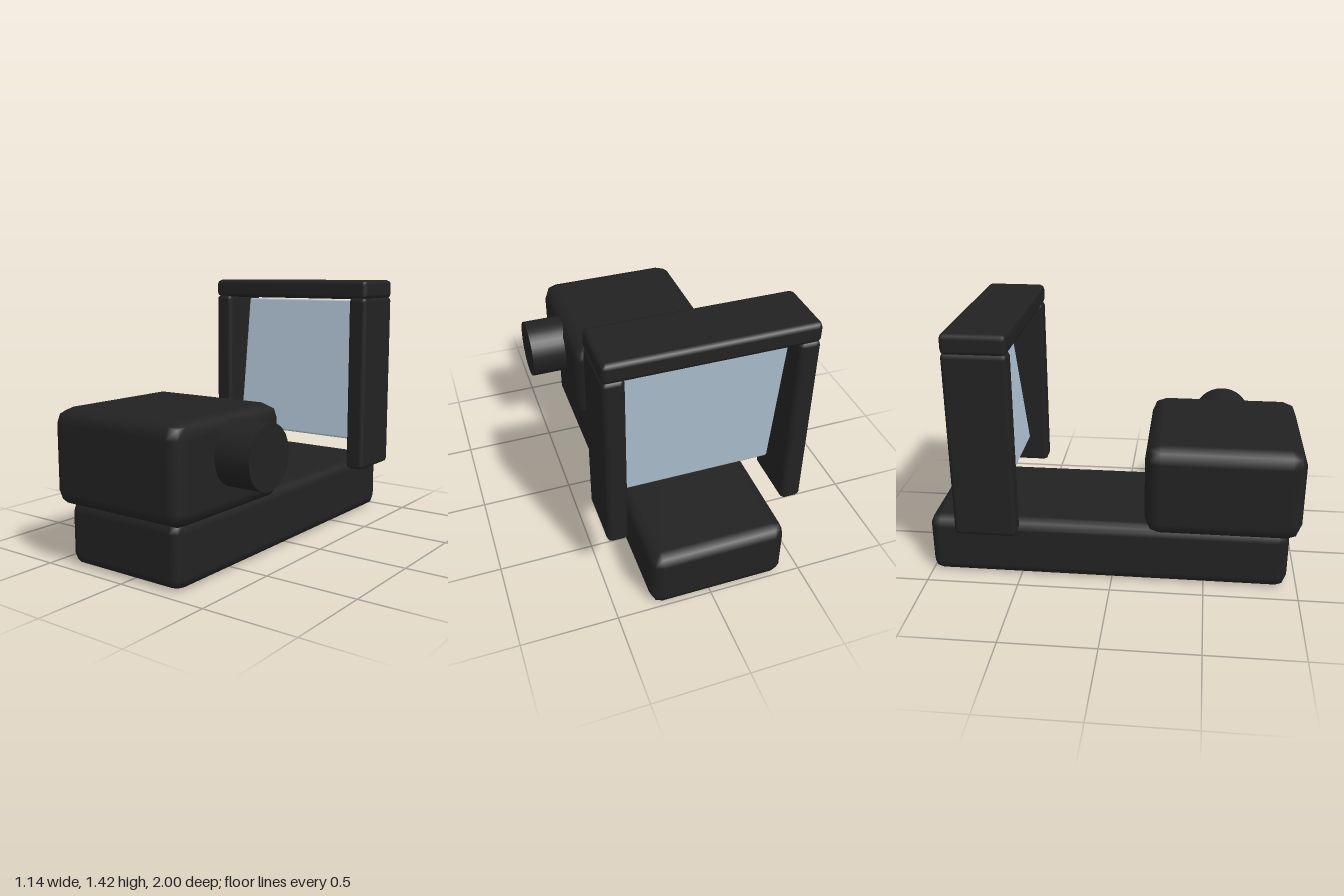
import * as THREE from 'three';
import { RoundedBoxGeometry } from 'three/addons/geometries/RoundedBoxGeometry.js';

export function createModel() {
  const model = new THREE.Group();
  const black = new THREE.MeshStandardMaterial({ color: 0x222222 });
  black.name = 'matte black';
  const paleBlue = new THREE.MeshStandardMaterial({ color: 0xb0c2d3 });
  paleBlue.name = 'pale blue glass';

  // Rounded block given by its lower and upper bounds on each axis
  function block(name, [x0, x1], [y0, y1], [z0, z1], radius, material = black) {
    const geometry = new RoundedBoxGeometry(x1 - x0, y1 - y0, z1 - z0, 1, radius);
    const mesh = new THREE.Mesh(geometry, material);
    mesh.name = name;
    mesh.position.set((x0 + x1) / 2, (y0 + y1) / 2, (z0 + z1) / 2);
    model.add(mesh);
    return mesh;
  }

  // Long base and the housing at its front
  block('base', [-0.405, 0.317], [0, 0.337], [-1, 0.945], 0.06);
  block('housing', [-0.458, 0.372], [0.31, 0.81], [0.175, 1], 0.08);

  // Hood: two posts and a bar across the top
  const depth = [-0.805, -0.478];
  block('rightPost', [-0.57, -0.46], [0.335, 1.325], depth, 0.025);
  block('leftPost', [0.375, 0.485], [0.335, 1.325], depth, 0.025);
  block('topBar', [-0.57, 0.485], [1.315, 1.42], depth, 0.025);

  // Glass pane, its lower edge leaning toward the front
  const pane = block('glassPane', [-0.455, 0.37], [0.485, 1.305], [-0.663, -0.628], 0.012, paleBlue);
  pane.rotation.x = -0.12;

  // Knob on the left side of the housing
  const knob = new THREE.Mesh(new THREE.CylinderGeometry(0.164, 0.164, 0.265, 32), black);
  knob.name = 'knob';
  knob.rotation.z = -Math.PI / 2;
  knob.position.set(0.4355, 0.615, 0.582);
  model.add(knob);

  return model;
}
